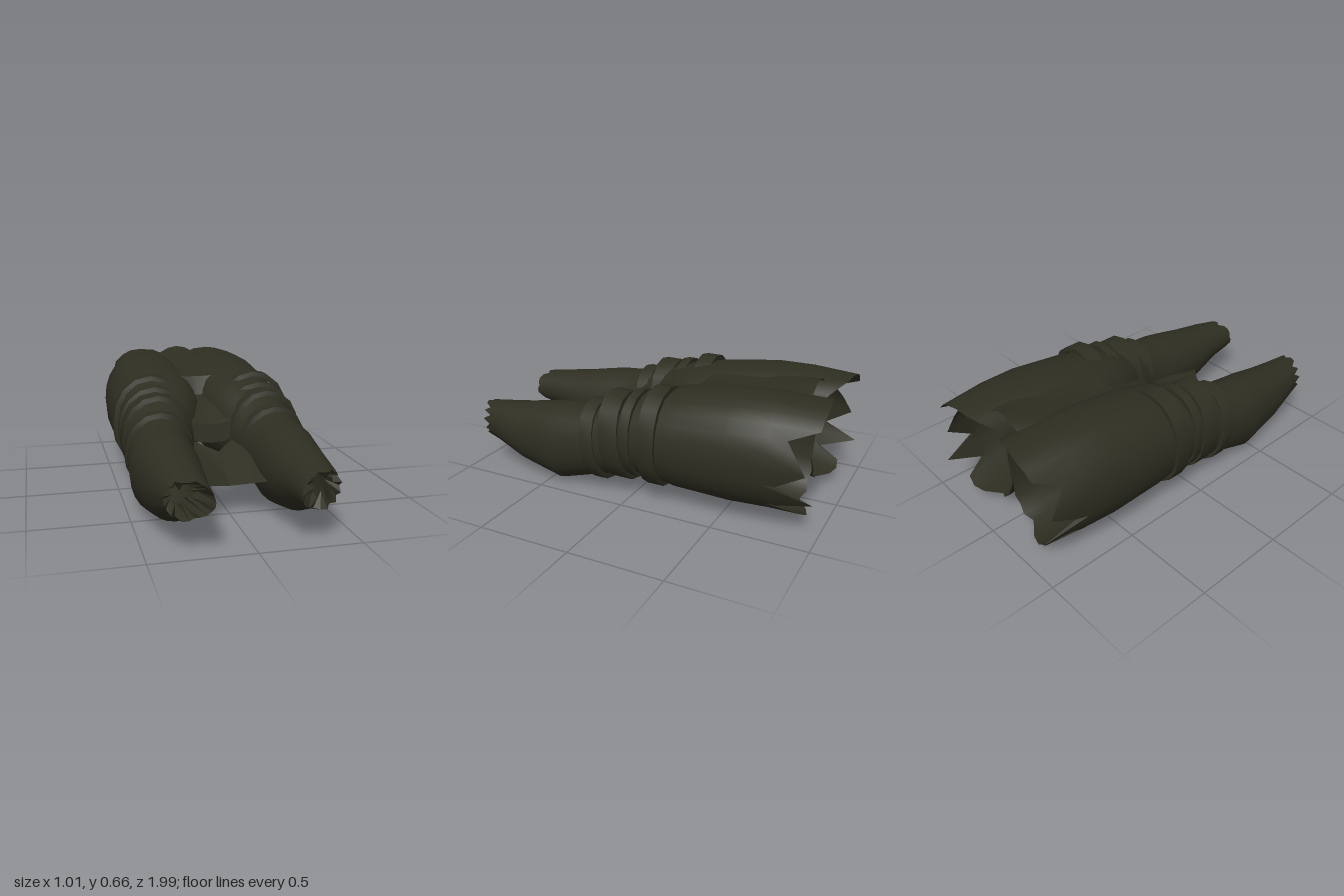
import * as THREE from 'three';
import { toCreasedNormals } from 'three/addons/utils/BufferGeometryUtils.js';

const N = 24;
const cloth = new THREE.MeshStandardMaterial({ color: 0x2f2e22, side: THREE.DoubleSide });
cloth.name = 'dark olive cloth';

// Join rows of [x, y, z] points into a surface; side = -1 mirrors it in x.
function skin(name, rows, side, closed, crease = 0.7) {
  const w = rows[0].length, pos = [], idx = [];
  rows.forEach(r => r.forEach(p => pos.push(p[0] * side, p[1], p[2])));
  for (let i = 0; i < rows.length - 1; i++) {
    for (let j = 0; j < (closed ? w : w - 1); j++) {
      const k = (j + 1) % w;
      const a = i * w + j, b = i * w + k, c = a + w, d = b + w;
      if (side > 0) idx.push(a, b, d, a, d, c);
      else idx.push(a, d, b, a, c, d);
    }
  }
  const g = new THREE.BufferGeometry();
  g.setAttribute('position', new THREE.Float32BufferAttribute(pos, 3));
  g.setIndex(idx);
  const mesh = new THREE.Mesh(toCreasedNormals(g, crease), cloth);
  mesh.name = name;
  return mesh;
}

// Cross-section of a leg: round outside, squarer inside by exponent n.
// z is a number or a function of the point number and relative height.
function ring(z, xi, xo, yb, yt, n = 2, count = N) {
  const cx = (xi + xo) / 2, cy = (yb + yt) / 2, pts = [];
  for (let k = 0; k < count; k++) {
    const a = k / count * Math.PI * 2, c = Math.cos(a), s = Math.sin(a);
    const e = 2 / (c < -1e-6 ? n : 2.15);
    const u = Math.sign(c) * Math.abs(c) ** e, v = Math.sign(s) * Math.abs(s) ** e;
    pts.push([cx + u * (xo - xi) / 2, cy + v * (yt - yb) / 2,
      typeof z === 'function' ? z(k, v) : z]);
  }
  return pts;
}

// Torn hems, one z for each point round the section
const rearTear = [-0.94, -0.89, -0.84, -0.98, -0.985, -0.99, -0.98, -0.97, -0.94, -0.9, -0.87, -0.86,
  -0.86, -0.85, -0.86, -0.85, -0.86, -0.84, -0.9, -0.92, -0.91, -0.79, -0.98, -0.8];
const frontTear = [0.9, 0.94, 0.9, 0.95, 0.92, 0.97, 0.98, 0.96, 0.99, 1, 1, 0.99,
  1, 1, 0.98, 0.97, 0.95, 0.93, 0.95, 0.96, 0.91, 0.94, 0.9, 0.93];

// z, inner x, outer x, bottom, top, inner exponent
const sections = [
  [-0.75, 0, 0.485, 0.075, 0.645, 2.9],
  [-0.55, 0, 0.5, 0.07, 0.64, 2.9],
  [-0.25, 0, 0.495, 0.08, 0.6, 2.8],
  [-0.08, 0.01, 0.48, 0.11, 0.565, 2.4],
  [0.05, 0.06, 0.475, 0.1, 0.53, 2.2],
  [0.13, 0.1, 0.475, 0.08, 0.49, 2.1],
  [0.27, 0.13, 0.48, 0.045, 0.45, 2],
  [0.43, 0.14, 0.49, 0, 0.435, 2],
  [0.53, 0.145, 0.475, 0.02, 0.42, 2],
  [0.68, 0.16, 0.455, 0.055, 0.39, 2],
  [0.85, 0.185, 0.425, 0.13, 0.365, 2],
];

// back z, front z, inner x, outer x, bottom, top, tilt
const bands = [
  [-0.19, -0.1, 0.08, 0.507, 0.08, 0.61, 0],
  [-0.04, 0.01, 0.09, 0.49, 0.1, 0.57, 0.005],
  [0.02, 0.13, 0.1, 0.49, 0.075, 0.55, 0.025],
  [0.17, 0.245, 0.125, 0.488, 0.05, 0.485, 0.025],
];

function makeLeg(side) {
  const leg = new THREE.Group();
  leg.name = side > 0 ? 'leftLeg' : 'rightLeg';

  // Main cloth tube with a ragged opening at each end
  const rows = [ring(k => rearTear[k], 0, 0.45, 0.06, 0.635, 2.9)];
  sections.forEach(s => rows.push(ring(...s)));
  const hem = ring(k => frontTear[k], 0.195, 0.41, 0.16, 0.345);
  rows.push(hem);
  leg.add(skin('legCloth', rows, side, true, 1.0));

  // Crumpled cloth folded into the front opening
  const fold = hem.map(([x, y], k) => {
    const f = 0.3 + 0.35 * ((k * 7) % 5) / 4;
    return [0.34 + (x - 0.34) * f, 0.27 + (y - 0.27) * f, 0.84 + 0.025 * ((k * 3) % 4)];
  });
  leg.add(skin('crumpledCuff', [hem, fold], side, true, 0.3));

  // Raised bands wrapped round the knee
  bands.forEach(([z0, z1, xi, xo, yb, yt, tilt]) => {
    const t = 0.025;
    const at = (z, d) => ring((k, v) => z + tilt * v, xi + d, xo - d, yb + d, yt - d, 2, 16);
    leg.add(skin('kneeBand',
      [at(z0, t), at(z0, 0), at(z1, 0), at(z1 + 0.008, t)], side, true, 0.65));
  });

  // Web of cloth between the lower legs
  leg.add(skin('innerWeb', [
    [[0.13, 0.3, 0.13], [0.17, 0.28, 0.38], [0.16, 0.2, 0.63]],
    [[0, 0.26, 0.27], [0, 0.2, 0.4], [0, 0.15, 0.51]],
  ], side, false));
  return leg;
}

// Sheet across the middle: rows of [z, centre y, half width, edge drop]
function centreSheet(name, rows) {
  return skin(name, rows.map(([z, y, w, drop]) =>
    [1, 0.5, 0, -0.5, -1].map(u => [u * w, y - drop * u * u, z])), 1, false);
}

export function createModel() {
  const model = new THREE.Group();
  model.name = 'tornTrousers';
  model.add(makeLeg(1), makeLeg(-1));
  // Sunken panel joining the legs behind the gap
  model.add(centreSheet('centrePanel', [
    [-0.27, 0.57, 0.14, -0.01], [-0.2, 0.47, 0.12, -0.03],
    [-0.05, 0.45, 0.13, 0], [0.12, 0.37, 0.13, -0.02], [0.13, 0.27, 0.13, -0.03],
  ]));
  // Lifted cloth over the rear seam
  model.add(centreSheet('rearCollar', [
    [-0.86, 0.664, 0.11, 0.04], [-0.74, 0.635, 0.13, 0.01],
    [-0.55, 0.6, 0.14, -0.01], [-0.4, 0.585, 0.13, -0.01], [-0.25, 0.57, 0.14, -0.01],
  ]));
  return model;
}
